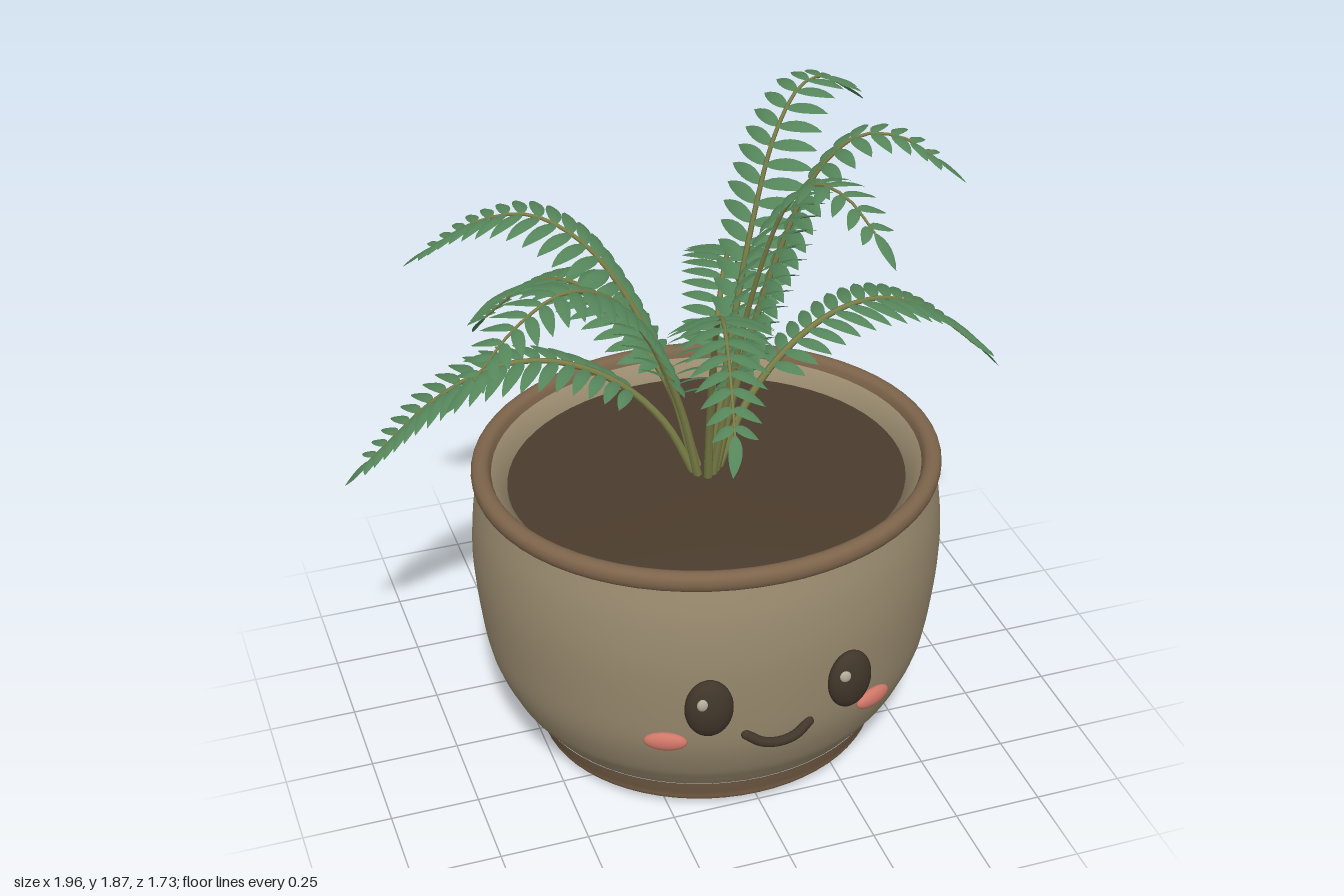
import * as THREE from 'three';

const mat = (name, color, side = THREE.FrontSide) => {
  const m = new THREE.MeshStandardMaterial({ color, side });
  m.name = name;
  return m;
};
const V = (x, y, z) => new THREE.Vector3(x, y, z);

// Smooth profile curve revolved around y
function lathe(points, samples) {
  let pts = points.map(([r, y]) => new THREE.Vector2(r, y));
  if (samples) pts = new THREE.SplineCurve(pts).getPoints(samples);
  return new THREE.LatheGeometry(pts, 64);
}

// Tube that thins from r0 at the base to r1 at the tip
function taperedTube(curve, r0, r1, rings = 28, sides = 6) {
  const geo = new THREE.TubeGeometry(curve, rings, 1, sides, false);
  const pos = geo.attributes.position, v = V(0, 0, 0);
  for (let i = 0; i <= rings; i++) {
    const c = curve.getPointAt(i / rings);
    const r = THREE.MathUtils.lerp(r0, r1, i / rings);
    for (let j = 0; j <= sides; j++) {
      const k = i * (sides + 1) + j;
      v.fromBufferAttribute(pos, k).sub(c).multiplyScalar(r).add(c);
      pos.setXYZ(k, v.x, v.y, v.z);
    }
  }
  return geo;
}

// Lens-shaped leaflet: edge, raised midrib and edge at each station along a drooping axis
function addLeaflet(out, base, dir, across, up, length, width, droop) {
  const stations = 6, start = out.pos.length / 3;
  for (let i = 0; i <= stations; i++) {
    const t = i / stations;
    const w = width * 0.5 * Math.pow(Math.sin(Math.PI * Math.pow(t * 0.96 + 0.04, 0.85)), 0.8);
    const c = base.clone().addScaledVector(dir, length * t);
    c.addScaledVector(across, length * 0.12 * t * t);
    c.y -= droop * length * t * t;
    for (const s of [-1, 0, 1]) {
      const p = c.clone().addScaledVector(across, s * (w || 0));
      if (s === 0) p.addScaledVector(up, (w || 0) * 0.25);
      out.pos.push(p.x, p.y, p.z);
    }
  }
  for (let i = 0; i < stations; i++) {
    for (let j = 0; j < 2; j++) {
      const a = start + i * 3 + j, b = a + 3;
      out.idx.push(a, b, a + 1, b, b + 1, a + 1);
    }
  }
}

// Frond arches as [distance from the middle, height]
const ARCHES = {
  low: [[0.03, 0.81], [0.12, 1.0], [0.25, 1.14], [0.42, 1.22], [0.58, 1.215], [0.74, 1.13], [0.86, 1.02], [0.93, 0.95]],
  mid: [[0.03, 0.81], [0.1, 1.08], [0.22, 1.35], [0.35, 1.51], [0.49, 1.57], [0.64, 1.53], [0.78, 1.43]],
  high: [[0.02, 0.81], [0.09, 1.15], [0.2, 1.55], [0.29, 1.76], [0.39, 1.855], [0.5, 1.85], [0.59, 1.79]],
};
const FRONDS = [
  ['low', -12], ['low', -65], ['low', -117], ['low', -170],
  ['mid', 104], ['mid', 157], ['mid', -148],
  ['high', 65], ['high', 19], ['high', -32],
];

function makeFrond(kind, degrees, stemMat, leafMat) {
  const frond = new THREE.Group();
  frond.name = kind + 'Frond';
  const a = THREE.MathUtils.degToRad(degrees);
  const radial = V(Math.cos(a), 0, Math.sin(a));
  const side = V(-Math.sin(a), 0, Math.cos(a));
  const curve = new THREE.CatmullRomCurve3(
    ARCHES[kind].map(([r, y]) => V(radial.x * r, y, radial.z * r)));

  const stem = new THREE.Mesh(taperedTube(curve, 0.013, 0.003), stemMat);
  stem.name = 'stem';

  const out = { pos: [], idx: [] };
  const pairs = 19, first = kind === 'high' ? 0.27 : 0.3;
  for (let i = 0; i < pairs; i++) {
    const f = i / (pairs - 1);
    const t = THREE.MathUtils.lerp(first, 0.985, f);
    const p = curve.getPointAt(t), tan = curve.getTangentAt(t);
    const along = tan.clone().multiplyScalar(0.5).addScaledVector(radial, 0.6).normalize();
    const length = f < 0.4 ? 0.105 + 0.1 * f : 0.145 - 0.085 * Math.pow((f - 0.4) / 0.6, 1.6);
    for (const s of [1, -1]) {
      const dir = side.clone().multiplyScalar(s * 0.93).addScaledVector(along, 0.3);
      const up = V(0, 0, 0).crossVectors(side, along);
      if (up.y < 0) up.negate();
      dir.addScaledVector(up, 0.1).normalize();
      addLeaflet(out, p, dir, along, up, length, 0.03 + 0.1 * length, 0.28);
    }
  }
  // Leaflet at the very tip
  const end = curve.getTangentAt(1);
  addLeaflet(out, curve.getPointAt(1), end, side, V(0, 0, 0).crossVectors(end, side).negate(), 0.1, 0.035, 0.1);

  const geo = new THREE.BufferGeometry();
  geo.setAttribute('position', new THREE.Float32BufferAttribute(out.pos, 3));
  geo.setIndex(out.idx);
  geo.computeVertexNormals();
  const leaves = new THREE.Mesh(geo, leafMat);
  leaves.name = 'leaflets';
  frond.add(stem, leaves);
  return frond;
}

export function createModel() {
  const clay = mat('clay', 0x9b8c70);
  const trim = mat('brownTrim', 0x7d644b);
  const earth = mat('soil', 0x4b3c2d);
  const dark = mat('darkFace', 0x40362a);
  const blush = mat('blush', 0xcf7768);
  const glint = mat('glint', 0xb5ab98);
  const leafMat = mat('leafGreen', 0x55855a, THREE.DoubleSide);
  const stemMat = mat('stemOlive', 0x7c8048);

  const model = new THREE.Group();
  model.name = 'pottedFern';
  const add = (parent, name, geo, material) => {
    const m = new THREE.Mesh(geo, material);
    m.name = name;
    parent.add(m);
    return m;
  };

  // Pot, slightly narrower from front to back
  const pot = new THREE.Group();
  pot.name = 'pot';
  pot.position.z = 0.05;
  pot.scale.z = 0.925;
  model.add(pot);
  add(pot, 'potBody', lathe([[0.515, 0.1], [0.545, 0.14], [0.585, 0.2], [0.63, 0.31], [0.652, 0.44],
    [0.666, 0.6], [0.66, 0.74], [0.64, 0.85]], 32), clay);
  add(pot, 'potInside', lathe([[0.605, 0.87], [0.565, 0.83], [0.55, 0.75], [0.54, 0.4],
    [0.42, 0.14], [0.13, 0.1]]), clay);
  add(pot, 'rim', lathe([[0.635, 0.842], [0.652, 0.85], [0.659, 0.87], [0.653, 0.89], [0.632, 0.898],
    [0.612, 0.89], [0.602, 0.865]], 20), trim);
  add(pot, 'foot', lathe([[0.13, 0.1], [0.135, 0.07], [0.165, 0.035], [0.26, 0.015], [0.4, 0.0],
    [0.48, 0.018], [0.497, 0.05], [0.517, 0.1]], 32), trim);
  add(pot, 'soil', lathe([[0.56, 0.82], [0.3, 0.828], [0.001, 0.832]]), earth);

  // Face
  const face = new THREE.Group();
  face.name = 'face';
  model.add(face);
  const ball = new THREE.SphereGeometry(1, 28, 20);
  for (const s of [-1, 1]) {
    const eye = add(face, 'eye', ball, dark);
    eye.position.set(s * 0.2, 0.49, 0.652);
    eye.scale.set(0.066, 0.09, 0.035);
    eye.rotation.y = s * 0.2;
    const spark = add(face, 'eyeGlint', ball, glint);
    spark.position.set(s * 0.2 - 0.024, 0.522, 0.677 + s * 0.003);
    spark.scale.set(0.017, 0.019, 0.01);
    const cheek = add(face, 'cheek', ball, blush);
    cheek.position.set(s * 0.3, 0.35, 0.582);
    cheek.scale.set(0.06, 0.028, 0.018);
    cheek.rotation.y = s * 0.42;
  }
  const smile = new THREE.CatmullRomCurve3([V(-0.09, 0.363, 0.64), V(-0.05, 0.338, 0.652),
    V(0, 0.329, 0.656), V(0.05, 0.338, 0.652), V(0.09, 0.363, 0.64)]);
  add(face, 'mouth', new THREE.TubeGeometry(smile, 24, 0.014, 10), dark);
  for (const s of [-1, 1]) {
    const tip = add(face, 'mouthEnd', ball, dark);
    tip.position.set(s * 0.09, 0.363, 0.64);
    tip.scale.setScalar(0.014);
  }

  // Fern
  const fern = new THREE.Group();
  fern.name = 'fern';
  fern.position.z = 0.05;
  FRONDS.forEach(([kind, degrees]) => fern.add(makeFrond(kind, degrees, stemMat, leafMat)));
  model.add(fern);
  return model;
}
